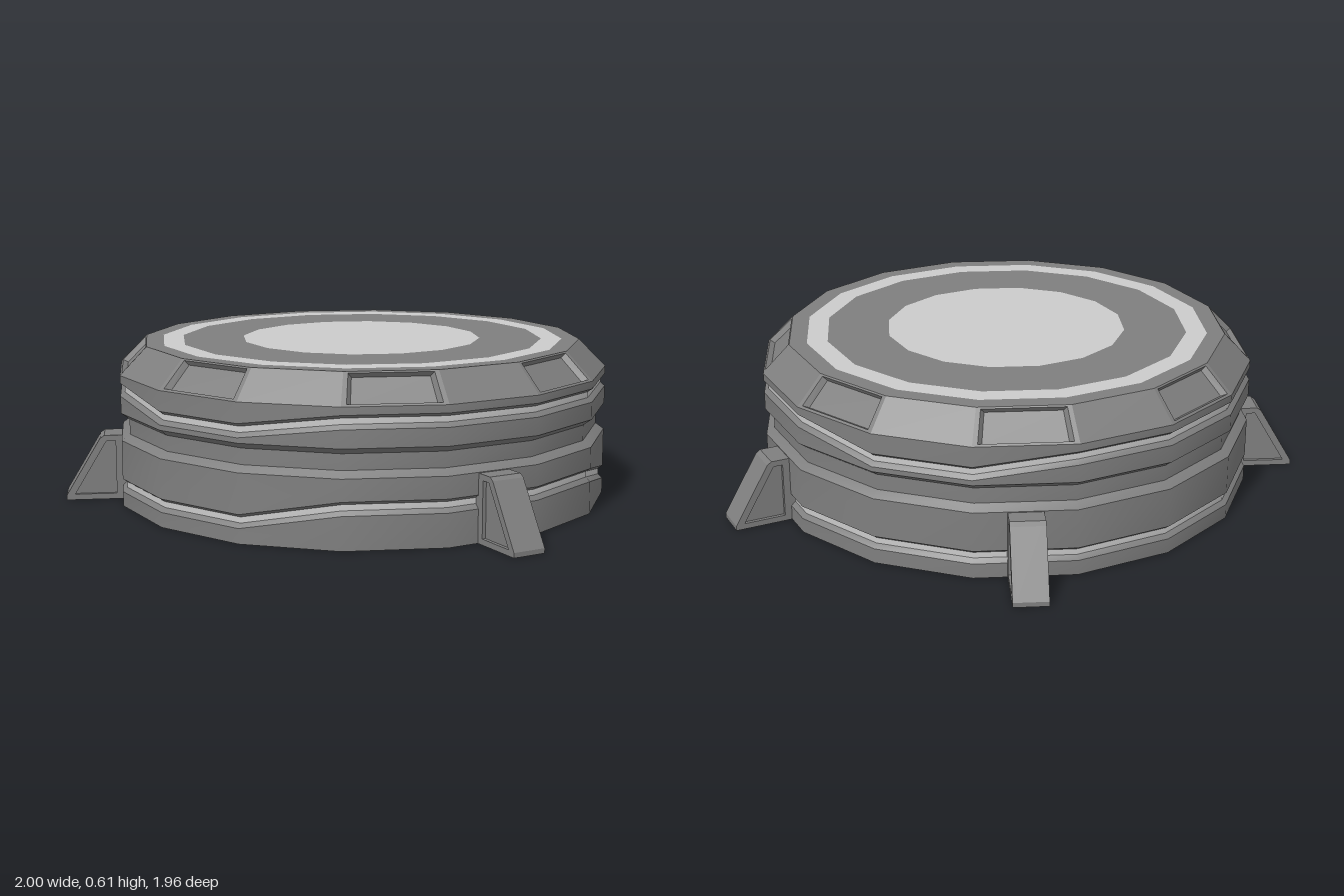
import * as THREE from 'three';
import { toCreasedNormals } from 'three/addons/utils/BufferGeometryUtils.js';

const SIDES = 16, STEP = (Math.PI * 2) / SIDES, R = 0.957, HEIGHT = 0.61, CENTRE_Z = 0.017;
const bodyMat = new THREE.MeshStandardMaterial({ color: 0x7f7f7f });
const lightMat = new THREE.MeshStandardMaterial({ color: 0xcccccc });

// point on the drum: corner i counts from the front towards +x
const point = (r, y, i) => new THREE.Vector3(r * Math.sin(i * STEP), y, r * Math.cos(i * STEP));

// geometry from a list of quads, corners counter-clockwise seen from outside
function quadGeometry(quads) {
  const pts = quads.flatMap(([a, b, c, d]) => [a, b, c, a, c, d]);
  const g = new THREE.BufferGeometry().setFromPoints(pts);
  g.computeVertexNormals();
  return g;
}

function addMesh(parent, name, geometry, material) {
  const m = new THREE.Mesh(geometry, material);
  m.name = name;
  parent.add(m);
  return m;
}

// band between consecutive rings; each ring is [radius, height of corner i]
function band(rings) {
  const quads = [];
  for (let k = 0; k + 1 < rings.length; k++) {
    const [r0, y0] = rings[k], [r1, y1] = rings[k + 1];
    for (let i = 0; i < SIDES; i++) {
      const j = (i + 1) % SIDES;
      quads.push([point(r0, y0(i), i), point(r0, y0(j), j), point(r1, y1(j), j), point(r1, y1(i), i)]);
    }
  }
  return toCreasedNormals(quadGeometry(quads), 0.5);
}

// sloped shoulder, every other facet with a sunken panel
function shoulder() {
  const quads = [];
  for (let i = 0; i < SIDES; i++) {
    const outer = [point(R, 0.505, i), point(R, 0.505, i + 1), point(0.853, HEIGHT, i + 1), point(0.853, HEIGHT, i)];
    if (i % 2 === 0) {
      quads.push(outer);
      continue;
    }
    const at = (u, v) => outer[0].clone().lerp(outer[1], u).lerp(outer[3].clone().lerp(outer[2], u), v);
    const normal = outer[1].clone().sub(outer[0]).cross(outer[3].clone().sub(outer[0])).normalize();
    const rim = [at(0.05, 0.07), at(0.95, 0.07), at(0.95, 0.95), at(0.05, 0.95)];
    const sunk = [at(0.09, 0.12), at(0.91, 0.12), at(0.91, 0.92), at(0.09, 0.92)];
    sunk.forEach((p) => p.addScaledVector(normal, -0.02));
    for (let k = 0; k < 4; k++) {
      const n = (k + 1) % 4;
      quads.push([outer[k], outer[n], rim[n], rim[k]], [rim[k], rim[n], sunk[n], sunk[k]]);
    }
    quads.push(sunk);
  }
  return quadGeometry(quads);
}

// foot bracket: solid core with a raised frame on both cheeks
function makeFoot() {
  const foot = new THREE.Group();
  const profile = () => new THREE.Shape([[0.9, 0], [1.158, 0], [1.158, 0.018], [1.025, 0.24], [1.008, 0.252], [0.9, 0.252]]
    .map(([x, y]) => new THREE.Vector2(x, y)));
  const plate = (name, shape, z, depth) => {
    const g = new THREE.ExtrudeGeometry(shape, { depth, bevelEnabled: false });
    addMesh(foot, name, g.translate(0, 0, z), bodyMat);
  };
  const frame = profile();
  frame.holes.push(new THREE.Path([[0.965, 0.022], [0.965, 0.23], [1.0, 0.23], [1.125, 0.022]]
    .map(([x, y]) => new THREE.Vector2(x, y))));
  plate('footCore', profile(), -0.05, 0.1);
  plate('footFrameA', frame, 0.05, 0.014);
  plate('footFrameB', frame, -0.064, 0.014);
  return foot;
}

export function createModel() {
  const model = new THREE.Group();
  model.name = 'drumPlatform';
  const drum = new THREE.Group();
  drum.name = 'drum';
  drum.position.z = CENTRE_Z;
  model.add(drum);

  // the two grooves step up and down around the drum
  const lower = (i) => (i >= 1 && i <= 4 ? 0.15 : 0.082);
  const upper = (i) => ([15, 0, 8, 9].includes(i) ? 0.405 : 0.452);
  const flat = (y) => () => y;
  const off = (f, d) => (i) => f(i) + d;
  const IN = 0.94, WAIST = 0.925;

  addMesh(drum, 'baseBand', band([[R, flat(0)], [R, off(lower, -0.026)], [IN, off(lower, -0.01)]]), bodyMat);
  addMesh(drum, 'lowerStrip', band([[IN, off(lower, -0.01)], [IN, off(lower, 0.012)]]), lightMat);
  addMesh(drum, 'middleBand', band([
    [IN, off(lower, 0.012)], [R, off(lower, 0.024)], [R, flat(0.255)], [WAIST, flat(0.278)],
    [WAIST, flat(0.337)], [R, flat(0.36)], [R, off(upper, -0.026)], [IN, off(upper, -0.01)],
  ]), bodyMat);
  addMesh(drum, 'upperStrip', band([[IN, off(upper, -0.01)], [IN, off(upper, 0.012)]]), lightMat);
  addMesh(drum, 'upperBand', band([[IN, off(upper, 0.012)], [R, off(upper, 0.024)], [R, flat(0.505)]]), bodyMat);
  addMesh(drum, 'shoulder', shoulder(), bodyMat);

  // flat top: concentric dark and light rings
  const radii = [0, 0.465, 0.705, 0.785, 0.853];
  for (let k = 0; k < 4; k++) {
    const g = k ? new THREE.RingGeometry(radii[k], radii[k + 1], SIDES) : new THREE.CircleGeometry(radii[1], SIDES);
    g.rotateX(-Math.PI / 2).translate(0, HEIGHT, 0);
    addMesh(drum, 'topRing' + (k + 1), g, k % 2 ? bodyMat : lightMat);
  }
  addMesh(drum, 'underside', new THREE.CircleGeometry(R, SIDES).rotateX(Math.PI / 2), bodyMat);

  // four feet, each centred on a facet
  for (const [name, facet] of [['frontLeftFoot', 2.5], ['backLeftFoot', 6.5], ['backRightFoot', 9.5], ['frontRightFoot', 13.5]]) {
    const foot = makeFoot();
    foot.name = name;
    foot.rotation.y = facet * STEP - Math.PI / 2;
    drum.add(foot);
  }
  return model;
}
